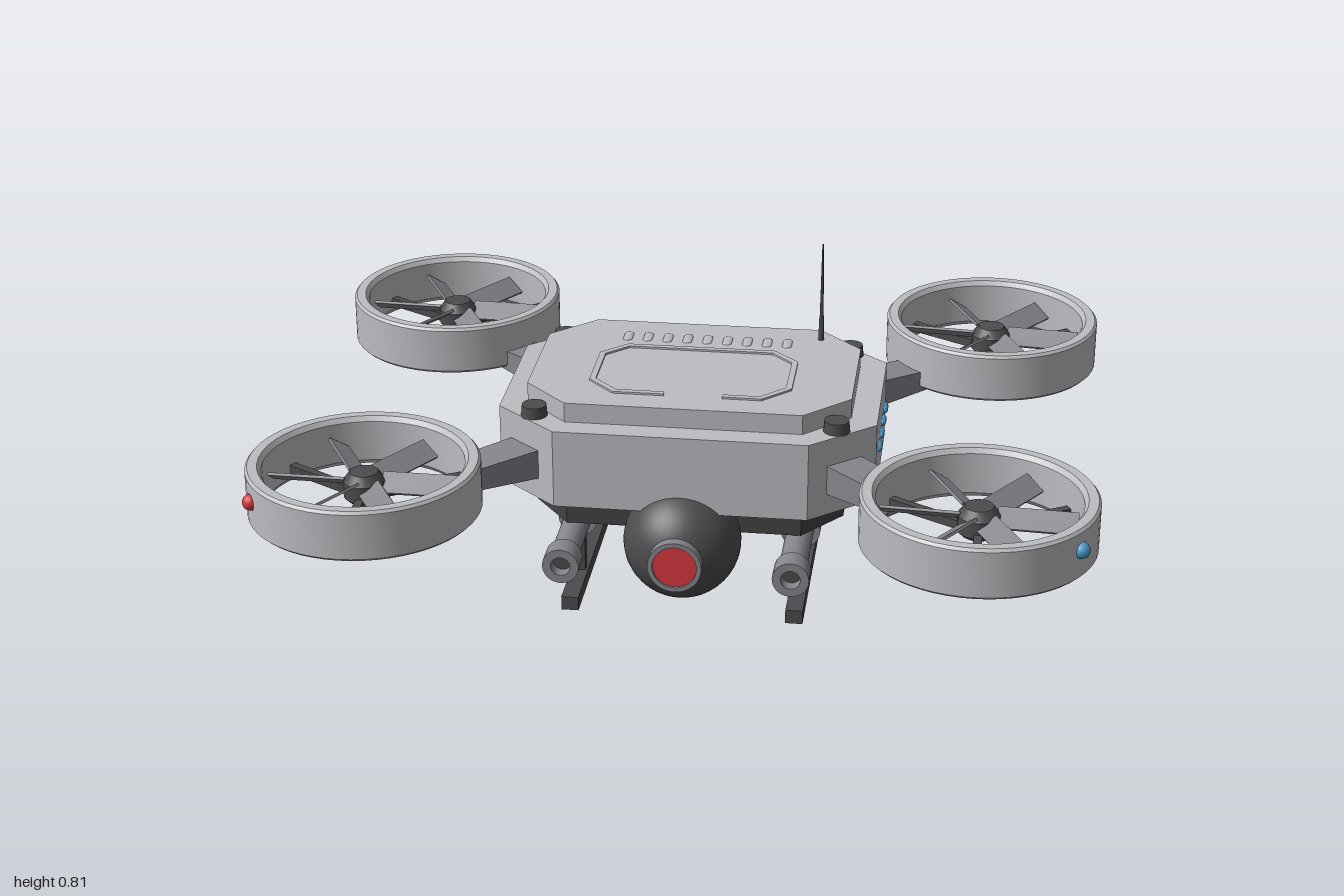
import * as THREE from 'three';
import { toCreasedNormals } from 'three/addons/utils/BufferGeometryUtils.js';

const mat = (name, color) => {
  const m = new THREE.MeshStandardMaterial({ color });
  m.name = name;
  return m;
};

export function createModel() {
  const model = new THREE.Group();
  model.name = 'quadDrone';
  const shell = mat('light grey shell', 0xbcbdc1);
  const metal = mat('mid grey metal', 0x85858c);
  const dark = mat('dark grey', 0x4c4c4e);
  const belly = mat('belly grey', 0x434345);
  const blue = mat('blue light', 0x4a9ccb);
  const red = mat('red light', 0xd8383d);

  const add = (name, geo, material, x = 0, y = 0, z = 0, parent = model) => {
    const m = new THREE.Mesh(geo, material);
    m.name = name;
    m.position.set(x, y, z);
    parent.add(m);
    return m;
  };
  const box = (x, y, z) => new THREE.BoxGeometry(x, y, z);
  const cyl = (rt, rb, h, n = 24) => new THREE.CylinderGeometry(rt, rb, h, n);
  const lathe = (pts, n) => toCreasedNormals(
    new THREE.LatheGeometry(pts.map(([x, y]) => new THREE.Vector2(x, y)), n), 0.5);

  // Chamfered slab: half sizes X, Z with corners cut back to x, z
  const slab = (X, Z, x, z, h) => {
    const s = new THREE.Shape([[X, -z], [X, z], [x, Z], [-x, Z], [-X, z], [-X, -z], [-x, -Z], [x, -Z]]
      .map(p => new THREE.Vector2(...p)));
    return new THREE.ExtrudeGeometry(s, { depth: h, bevelEnabled: false }).rotateX(-Math.PI / 2);
  };
  add('body', slab(0.465, 0.325, 0.31, 0.19, 0.2), shell, 0, 0.3, 0);
  add('lid', slab(0.4, 0.265, 0.29, 0.155, 0.05), shell, 0, 0.5, 0);
  add('belly', slab(0.385, 0.262, 0.29, 0.14, 0.077), belly, 0, 0.225, 0);

  // Raised panel line on the lid
  const line = [[-0.06, 0.185], [-0.18, 0.185], [-0.243, 0.12], [-0.243, -0.04], [-0.185, -0.098],
    [0.185, -0.098], [0.243, -0.04], [0.243, 0.12], [0.18, 0.185], [0.09, 0.185]];
  for (let i = 0; i < line.length - 1; i++) {
    const [ax, az] = line[i], [bx, bz] = line[i + 1];
    const strip = add('panelLine', box(Math.hypot(bx - ax, bz - az) + 0.006, 0.008, 0.015), shell,
      (ax + bx) / 2, 0.551, (az + bz) / 2);
    strip.rotation.y = -Math.atan2(bz - az, bx - ax);
  }

  // Row of pill-shaped vents
  const vent = new THREE.CapsuleGeometry(0.012, 0.032, 4, 10).rotateX(Math.PI / 2).scale(1, 0.35, 1);
  for (let i = 0; i < 9; i++) add('vent', vent, shell, -0.196 + i * 0.051, 0.55, -0.165);

  // Antenna
  add('antennaBase', cyl(0.006, 0.008, 0.07, 10), dark, 0.295, 0.58, -0.205);
  add('antenna', cyl(0.002, 0.005, 0.2, 8), dark, 0.295, 0.71, -0.205);

  // Side lights
  const pill = new THREE.CapsuleGeometry(0.01, 0.024, 4, 12).rotateX(Math.PI / 2);
  for (const s of [-1, 1])
    for (const z of [0.113, 0.038, -0.037, -0.112]) add('sideLight', pill, blue, s * 0.466, 0.41, z);

  // Camera ball with red lens
  add('cameraBall', new THREE.SphereGeometry(0.145, 40, 28), dark, 0, 0.205, 0.275);
  const frame = lathe([[0.066, -0.025], [0.066, 0.02], [0.054, 0.02], [0.054, -0.025], [0.066, -0.025]], 32);
  add('lensFrame', frame.rotateX(Math.PI / 2), metal, 0, 0.205, 0.41);
  add('lens', cyl(0.055, 0.055, 0.008, 32).rotateX(Math.PI / 2), red, 0, 0.205, 0.42);

  // Under-slung tubes and landing skids
  const muzzle = lathe([[0.03, -0.03], [0.045, -0.03], [0.045, 0.03], [0.024, 0.03], [0.024, -0.02]], 24)
    .rotateX(Math.PI / 2);
  for (const s of [-1, 1]) {
    const x = s * 0.28;
    add('tubeBody', cyl(0.05, 0.05, 0.335).rotateX(Math.PI / 2), metal, x, 0.185, -0.0125);
    add('barrel', cyl(0.034, 0.034, 0.24).rotateX(Math.PI / 2), metal, x, 0.185, 0.26);
    add('muzzle', muzzle, metal, x, 0.185, 0.39);
    add('bore', cyl(0.025, 0.025, 0.006).rotateX(Math.PI / 2), dark, x, 0.185, 0.385);
    add('skid', box(0.043, 0.036, 0.69), dark, x, 0.018, -0.045);
    for (const z of [0.138, -0.232]) add('skidLeg', box(0.03, 0.21, 0.028), dark, x, 0.13, z);
  }

  // Shared rotor parts
  const duct = lathe([[0.27, 0.375], [0.277, 0.382], [0.277, 0.495], [0.271, 0.502], [0.248, 0.502],
    [0.239, 0.49], [0.239, 0.387], [0.248, 0.375], [0.27, 0.375]], 56);
  const hub = lathe([[0, 0.4], [0.04, 0.4], [0.05, 0.41], [0.05, 0.45], [0.034, 0.472], [0, 0.475]], 20);
  const blade = box(0.185, 0.007, 0.058).rotateX(0.6).translate(0.135, 0, 0);
  const strut = box(0.24, 0.022, 0.02).translate(0.122, 0, 0);

  // Arm along +x, tapering towards the duct
  const arm = box(0.24, 0.08, 0.105).translate(0.12, 0, 0);
  const p = arm.attributes.position;
  for (let i = 0; i < p.count; i++)
    if (p.getX(i) > 0.1) p.setXYZ(i, p.getX(i), p.getY(i) * 0.65, p.getZ(i) * 0.9);
  arm.computeVertexNormals();

  for (const sx of [-1, 1]) for (const sz of [-1, 1]) {
    const rotor = new THREE.Group();
    rotor.name = 'rotor';
    rotor.position.set(sx * 0.723, 0, sz * 0.537);
    model.add(rotor);
    add('duct', duct, shell, 0, 0, 0, rotor);
    add('hub', hub, dark, 0, 0, 0, rotor);
    const spin = -0.05 - sx * 0.025 + sz * 0.015;
    for (let i = 0; i < 6; i++)
      add('blade', blade, metal, 0, 0.445, 0, rotor).rotation.y = spin + i * Math.PI / 3;
    for (let i = 0; i < 3; i++)
      add('strut', strut, dark, 0, 0.41, 0, rotor).rotation.y = Math.PI / 6 + i * Math.PI * 2 / 3;
    add('navLight', new THREE.SphereGeometry(0.02, 16, 12), sx > 0 ? blue : red,
      sx * 0.233, 0.45, sz * 0.15, rotor);

    add('arm', arm, metal, sx * 0.355, 0.392, sz * 0.222).rotation.y = -Math.atan2(sz * 0.315, sx * 0.368);
    // Corner bolt
    add('bolt', cyl(0.03, 0.033, 0.03, 20), dark, sx * 0.37, 0.513, sz * 0.232);
  }
  return model;
}
